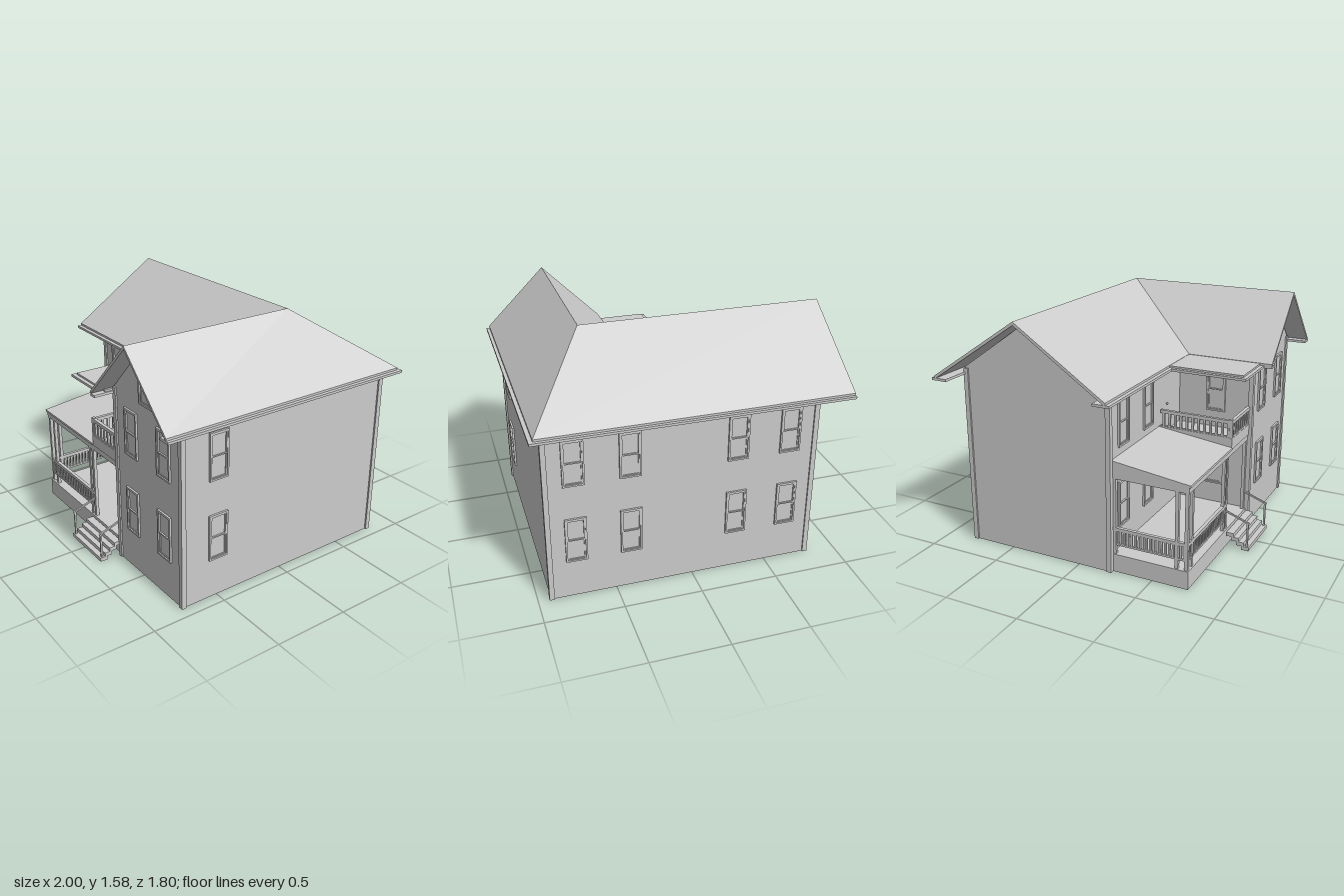
import * as THREE from 'three';

const mat = new THREE.MeshStandardMaterial({ color: 0xcccccc, flatShading: true, side: THREE.DoubleSide });

function add(parent, name, geo) {
  const m = new THREE.Mesh(geo, mat);
  m.name = name;
  parent.add(m);
  return m;
}

// Box given by its minimum and maximum on each axis
function box(parent, name, x0, x1, y0, y1, z0, z1) {
  const m = add(parent, name, new THREE.BoxGeometry(x1 - x0, y1 - y0, z1 - z0));
  m.position.set((x0 + x1) / 2, (y0 + y1) / 2, (z0 + z1) / 2);
  return m;
}

function polygon(pts) {
  return new THREE.Shape(pts.map(([x, y]) => new THREE.Vector2(x, y)));
}

// Flat slab: convex top outline (counter-clockwise from above) thickened downwards
function slab(parent, name, top, t) {
  const pos = [], n = top.length;
  const low = top.map(([x, y, z]) => [x, y - t, z]);
  const tri = (a, b, c) => pos.push(...a, ...b, ...c);
  for (let i = 1; i < n - 1; i++) {
    tri(top[0], top[i], top[i + 1]);
    tri(low[0], low[i + 1], low[i]);
  }
  for (let i = 0; i < n; i++) {
    const j = (i + 1) % n;
    tri(top[i], low[i], low[j]);
    tri(top[i], low[j], top[j]);
  }
  const g = new THREE.BufferGeometry();
  g.setAttribute('position', new THREE.Float32BufferAttribute(pos, 3));
  g.computeVertexNormals();
  return add(parent, name, g);
}

// Rectangular frame with an opening, centred on z = 0
function frameGeo(w, h, border, depth) {
  const rect = (a, b) => [[-a, -b], [a, -b], [a, b], [-a, b]];
  const s = polygon(rect(w / 2, h / 2));
  s.holes.push(polygon(rect(w / 2 - border, h / 2 - border)));
  return new THREE.ExtrudeGeometry(s, { depth, bevelEnabled: false }).translate(0, 0, -depth / 2);
}

const windowFrame = frameGeo(0.135, 0.305, 0.011, 0.026);
const sashFrame = frameGeo(0.113, 0.146, 0.008, 0.014);

// Sash window with its centre on a wall, turned to face outwards
function sashWindow(parent, x, y, z, turn) {
  const g = new THREE.Group();
  g.name = 'window';
  add(g, 'windowFrame', windowFrame);
  add(g, 'upperSash', sashFrame).position.set(0, 0.07, 0.003);
  add(g, 'lowerSash', sashFrame).position.set(0, -0.07, -0.002);
  g.position.set(x, y, z);
  g.rotation.y = turn;
  parent.add(g);
}

// Balustrade between two points (x, z): handrail, bottom rail, balusters
function railing(parent, a, b, y0, y1, count, baluster) {
  const g = new THREE.Group();
  g.name = 'railing';
  const dx = b[0] - a[0], dz = b[1] - a[1], len = Math.hypot(dx, dz);
  box(g, 'handrail', 0, len, y1 - 0.022, y1, -0.011, 0.011);
  box(g, 'bottomRail', 0, len, y0, y0 + 0.012, -0.008, 0.008);
  for (let i = 0; i < count; i++) {
    const x = (i + 0.5) * len / count;
    box(g, 'baluster', x - baluster / 2, x + baluster / 2, y0, y1 - 0.02, -baluster / 2, baluster / 2);
  }
  g.position.set(a[0], 0, a[1]);
  g.rotation.y = Math.atan2(-dz, dx);
  parent.add(g);
}

function buildWalls(house) {
  // L-shaped footprint, walls open at the bottom
  const foot = [[-0.8, -0.8], [-0.8, 0.225], [0.22, 0.225], [0.22, 0.75], [0.92, 0.75], [0.92, -0.8]];
  const H = 1.2;
  foot.forEach(([x, z], i) => {
    const [u, v] = foot[(i + 1) % foot.length];
    const len = Math.hypot(u - x, v - z);
    const m = add(house, 'wall', new THREE.PlaneGeometry(len, H));
    m.position.set((x + u) / 2, H / 2, (z + v) / 2);
    m.rotation.y = Math.atan2(z - v, u - x);
    if (i !== 2) {
      box(house, 'cornerBoard', x - (x < 0.3 ? 0.01 : 0.022), x + (x < 0.3 ? 0.022 : 0.01),
        0, H - 0.01, z < 0 ? z - 0.01 : z - 0.022, z < 0 ? z + 0.022 : z + 0.01);
    }
  });
  // Gable triangles
  add(house, 'frontGable', new THREE.ShapeGeometry(polygon([[0.22, H], [0.92, H], [0.572, 1.56]]))).position.z = 0.75;
  const side = add(house, 'sideGable', new THREE.ShapeGeometry(polygon([[-0.8, H], [0.225, H], [-0.288, 1.56]])));
  side.rotation.y = -Math.PI / 2;
  side.position.x = -0.8;
}

function buildRoof(house) {
  const R = 1.58, E = 1.18, t = 0.022;
  const cross = [0.575, R, -0.287], peak = [0.575, R, 0.89], left = [-1, R, -0.287];
  slab(house, 'mainRoofFront', [left, [-1, E, 0.31], [0.172, E, 0.31], cross], t);
  slab(house, 'mainRoofBack', [left, cross, [0.975, E, -0.885], [-1, E, -0.885]], t);
  slab(house, 'wingRoofRight', [cross, [0.172, E, 0.31], [0.172, E, 0.89], peak], t);
  slab(house, 'wingRoofLeft', [cross, peak, [0.98, E, 0.89], [0.975, E, -0.885]], t);
  // Eaves boards below the roof edges
  const y0 = 1.15, y1 = 1.166;
  box(house, 'backEave', -1, 1, y0, y1, -0.905, -0.8);
  box(house, 'leftEave', 0.92, 1, y0, y1, -0.905, 0.89);
  box(house, 'frontEave', -1, 0.22, y0, y1, 0.225, 0.335);
  box(house, 'wingEave', 0.172, 0.22, y0, y1, 0.31, 0.89);
  // Flat canopy over the balcony
  box(house, 'canopyEdge', -0.165, 0.22, y0, y1, 0.3, 0.835);
  box(house, 'canopyTop', -0.14, 0.21, y1, 1.178, 0.3, 0.81);
}

function buildPorch(house) {
  const porch = new THREE.Group();
  porch.name = 'porch';
  house.add(porch);
  // Floor and skirting, hollow underneath
  box(porch, 'porchFloor', -0.78, 0.22, 0.105, 0.12, 0.225, 0.74);
  box(porch, 'frontSkirt', -0.78, 0.22, 0, 0.105, 0.73, 0.74);
  box(porch, 'sideSkirt', -0.78, -0.77, 0, 0.105, 0.225, 0.73);
  // Posts
  const posts = [[-0.76, 0.72], [-0.697, 0.72], [-0.76, 0.657], [-0.76, 0.24], [-0.178, 0.72], [-0.138, 0.72], [0.2, 0.72]];
  for (const [x, z] of posts) box(porch, 'porchPost', x - 0.011, x + 0.011, 0.12, 0.63, z - 0.011, z + 0.011);
  // Beams and sloping roof
  box(porch, 'frontBeam', -0.775, 0.22, 0.625, 0.665, 0.705, 0.735);
  box(porch, 'sideBeam', -0.775, -0.745, 0.625, 0.665, 0.225, 0.705);
  const wedge = polygon([[0.225, 0.665], [0.745, 0.665], [0.745, 0.68], [0.225, 0.742]]);
  const roof = add(porch, 'porchRoof', new THREE.ExtrudeGeometry(wedge, { depth: 0.67, bevelEnabled: false }));
  roof.rotation.y = -Math.PI / 2;
  roof.position.x = -0.11;
  railing(porch, [-0.76, 0.72], [-0.15, 0.72], 0.178, 0.297, 25, 0.013);
  railing(porch, [-0.76, 0.24], [-0.76, 0.72], 0.178, 0.297, 19, 0.013);

  // Balcony over the entrance
  box(porch, 'balconyFloor', -0.11, 0.22, 0.665, 0.68, 0.225, 0.74);
  box(porch, 'balconyFascia', -0.11, 0.22, 0.665, 0.74, 0.722, 0.74);
  box(porch, 'balconySideFascia', -0.11, -0.092, 0.665, 0.745, 0.225, 0.722);
  railing(porch, [-0.098, 0.73], [0.22, 0.73], 0.74, 0.86, 8, 0.015);
  railing(porch, [-0.098, 0.235], [-0.098, 0.73], 0.74, 0.86, 12, 0.015);
  box(porch, 'balconyPost', -0.109, -0.087, 0.74, 0.865, 0.719, 0.741);

  // Steps and stair rails
  for (let i = 0; i < 4; i++) {
    const y = 0.026 * (i + 1), z = 0.9 - 0.035 * i;
    box(porch, 'step', -0.16, 0.212, y - 0.026, y, z - 0.05, z);
  }
  for (const x of [-0.145, 0.198]) {
    box(porch, 'stairPost', x - 0.006, x + 0.006, 0.02, 0.195, 0.878, 0.89);
    const rail = add(porch, 'stairRail', new THREE.BoxGeometry(0.012, 0.01, 0.18));
    rail.position.set(x, 0.22, 0.81);
    rail.rotation.x = Math.atan2(0.05, 0.14);
  }
}

export function createModel() {
  const house = new THREE.Group();
  house.name = 'house';
  buildWalls(house);
  buildRoof(house);
  buildPorch(house);

  // Windows on two storeys, plus the attic
  const columns = [-0.625, -0.283, 0.4, 0.745];
  for (const y of [0.415, 0.947]) {
    for (const x of columns) {
      sashWindow(house, x, y, x < 0 ? 0.225 : 0.75, 0);
      sashWindow(house, x, y, -0.8, Math.PI);
    }
    sashWindow(house, 0.92, y, 0.495, Math.PI / 2);
    sashWindow(house, 0.22, y, 0.495, -Math.PI / 2);
  }
  sashWindow(house, 0.572, 1.335, 0.75, 0);

  // Doors, flush outside with the frame on the inner face
  for (const y of [0.12, 0.677]) {
    add(house, 'doorFrame', frameGeo(0.18, 0.46, 0.013, 0.018)).position.set(0.055, y + 0.23, 0.214);
    add(house, 'doorKnob', new THREE.SphereGeometry(0.008, 10, 8)).position.set(0, y + 0.193, 0.233);
  }
  return house;
}
